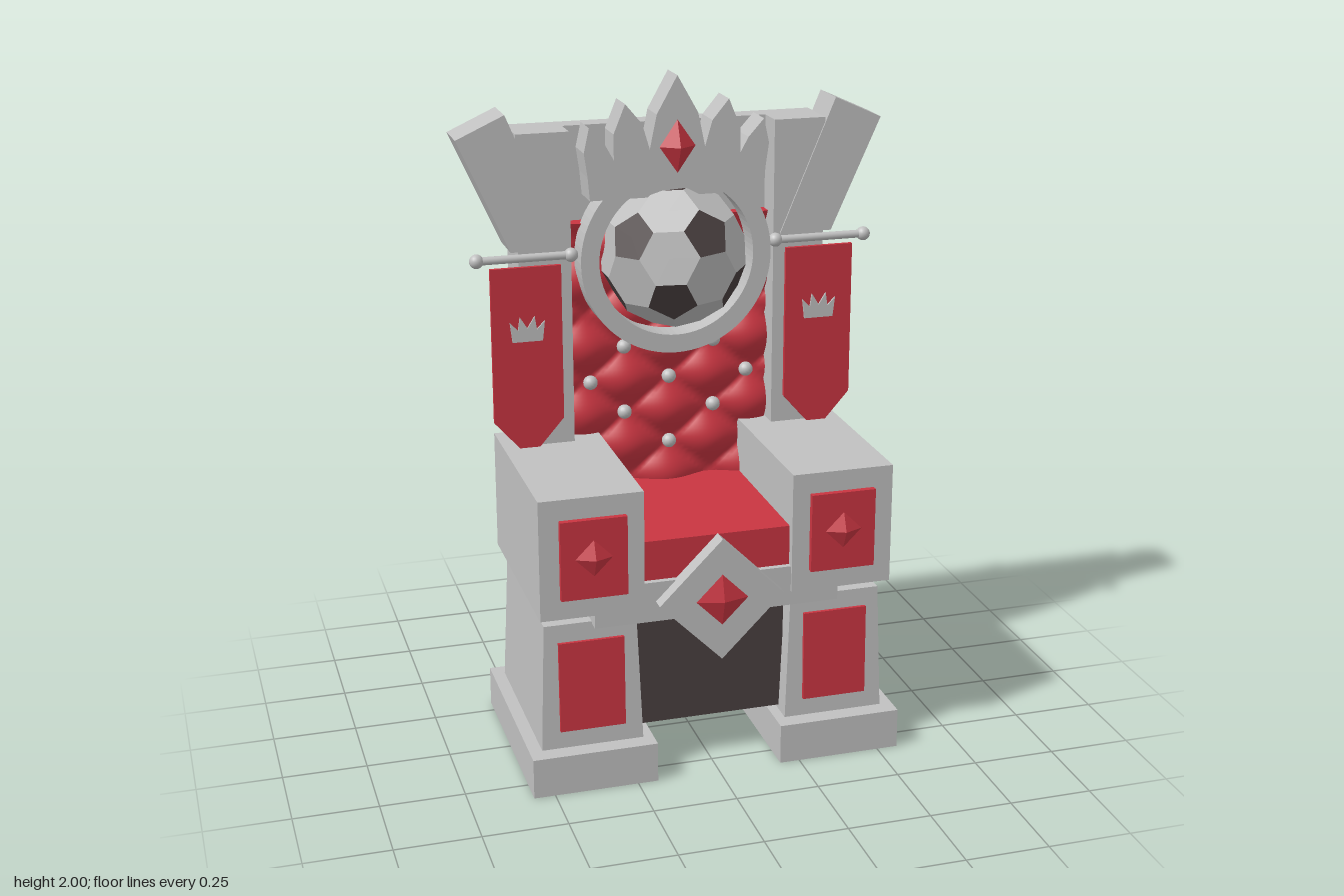
import * as THREE from 'three';

const grey = new THREE.MeshStandardMaterial({ color: 0xc0c0c0 });
grey.name = 'stone grey';
const red = new THREE.MeshStandardMaterial({ color: 0xc93541 });
red.name = 'crimson';
const dark = new THREE.MeshStandardMaterial({ color: 0x4a4040 });
dark.name = 'dark brown';

const BALL = new THREE.Vector3(0, 1.465, -0.157);

function add(parent, name, geometry, material, x = 0, y = 0, z = 0) {
  const mesh = new THREE.Mesh(geometry, material);
  mesh.name = name;
  mesh.position.set(x, y, z);
  parent.add(mesh);
  return mesh;
}

// Box given by its limits on each axis
function block(parent, name, material, [x0, x1], [y0, y1], [z0, z1]) {
  return add(parent, name, new THREE.BoxGeometry(x1 - x0, y1 - y0, z1 - z0), material,
    (x0 + x1) / 2, (y0 + y1) / 2, (z0 + z1) / 2);
}

// Outline in x and y, extruded from z0 to z1
function slab(parent, name, material, points, z0, z1) {
  const shape = new THREE.Shape(points.map(([x, y]) => new THREE.Vector2(x, y)));
  const geometry = new THREE.ExtrudeGeometry(shape, { depth: z1 - z0, bevelEnabled: false });
  return add(parent, name, geometry, material, 0, 0, z0);
}

const diamond = (y, r) => [[0, y - r], [r, y], [0, y + r], [-r, y]];

function gem(parent, name, x, y, z, rx, ry, rz) {
  const geometry = new THREE.OctahedronGeometry(1).scale(rx, ry, rz);
  return add(parent, name, geometry, red, x, y, z);
}

// Leg narrowing towards the top
function leg(parent, x) {
  const geometry = new THREE.BoxGeometry(0.305, 0.39, 0.535);
  const p = geometry.attributes.position;
  for (let i = 0; i < p.count; i++) {
    if (p.getY(i) > 0) p.setXYZ(i, p.getX(i) * 0.9, p.getY(i), p.getZ(i) * 0.945 + 0.005);
  }
  geometry.computeVertexNormals();
  add(parent, 'leg', geometry, grey, x, 0.315, 0.0125);
}

// Padded cushion pulled in at every button
function upholstery(parent) {
  const geometry = new THREE.BoxGeometry(0.614, 0.87, 0.03, 48, 70, 1);
  const p = geometry.attributes.position;
  const yMid = 1.131;
  for (let i = 0; i < p.count; i++) {
    if (p.getZ(i) <= 0) continue;
    const u = p.getX(i) / 0.26, v = (p.getY(i) + yMid - 1.07) / 0.21;
    const puff = Math.abs(Math.sin(Math.PI * (u + v)) * Math.sin(Math.PI * (u - v)));
    p.setZ(i, 0.012 + 0.04 * Math.pow(puff, 0.8));
  }
  geometry.computeVertexNormals();
  add(parent, 'backCushion', geometry, red, 0, yMid, -0.23);

  const rows = [[1.175, [-0.14, 0.14]], [1.07, [-0.245, 0, 0.245]], [0.968, [-0.14, 0.14]], [0.862, [0]]];
  for (const [y, xs] of rows) {
    for (const x of xs) add(parent, 'button', new THREE.SphereGeometry(0.022, 16, 12), grey, x, y, -0.205);
  }
}

// Ball with 12 dark pentagons and 20 grey hexagons
function ball(parent, radius) {
  const f = (1 + Math.sqrt(5)) / 2, verts = [];
  for (const a of [-1, 1]) {
    for (const b of [-f, f]) {
      verts.push(new THREE.Vector3(0, a, b), new THREE.Vector3(a, b, 0), new THREE.Vector3(b, 0, a));
    }
  }
  const near = (a, b) => a !== b && a.distanceTo(b) < 2.1;
  const cut = (a, b) => a.clone().lerp(b, 1 / 3).setLength(radius);

  // Fan of triangles around a face centre, counter-clockwise from outside
  const fan = (out, ring) => {
    const c = new THREE.Vector3();
    ring.forEach((q) => c.addScaledVector(q, 1 / ring.length));
    const n = c.clone().normalize();
    const e = ring[0].clone().sub(c).normalize(), g = n.clone().cross(e);
    const angle = (q) => Math.atan2(q.clone().sub(c).dot(g), q.clone().sub(c).dot(e));
    const sorted = [...ring].sort((a, b) => angle(a) - angle(b));
    sorted.forEach((q, i) => out.push(c, q, sorted[(i + 1) % sorted.length]));
  };

  const pentagons = [], hexagons = [];
  verts.forEach((a, i) => {
    fan(pentagons, verts.filter((b) => near(a, b)).map((b) => cut(a, b)));
    verts.forEach((b, j) => verts.forEach((c, k) => {
      if (i < j && j < k && near(a, b) && near(b, c) && near(a, c)) {
        fan(hexagons, [cut(a, b), cut(b, a), cut(b, c), cut(c, b), cut(c, a), cut(a, c)]);
      }
    }));
  });
  const group = new THREE.Group();
  group.name = 'ball';
  for (const [name, points, material] of [['ballPentagons', pentagons, dark], ['ballHexagons', hexagons, grey]]) {
    const geometry = new THREE.BufferGeometry().setFromPoints(points);
    geometry.computeVertexNormals();
    add(group, name, geometry, material);
  }
  group.position.copy(BALL);
  group.rotation.z = -0.5;
  parent.add(group);
}

// Everything that repeats on both sides; s is 1 for left, -1 for right
function side(parent, s) {
  const span = (a, b) => (s > 0 ? [a, b] : [-b, -a]);
  const mirror = (pts) => pts.map(([x, y]) => [s * x, y]);

  block(parent, 'foot', grey, span(0.19, 0.563), [0, 0.122], [-0.3, 0.333]);
  leg(parent, s * 0.3725);
  const legPanel = block(parent, 'legPanel', red, span(0.275, 0.47), [0.178, 0.455], [0.262, 0.286]);
  legPanel.rotation.x = -0.025;
  block(parent, 'armrest', grey, span(0.222, 0.528), [0.547, 0.91], [-0.285, 0.315]);
  block(parent, 'armPanel', red, span(0.275, 0.47), [0.61, 0.848], [0.3, 0.333]);
  gem(parent, 'armGem', s * 0.373, 0.732, 0.333, 0.055, 0.055, 0.025);

  // Back pillar with a flared top
  block(parent, 'backPillar', grey, span(0.31, 0.467), [0.685, 1.847], [-0.24, -0.148]);
  slab(parent, 'pillarHorn', grey,
    mirror([[0.49, 1.505], [0.64, 1.84], [0.497, 1.905], [0.33, 1.505]]), -0.275, -0.143);

  // Hanging banner, its rod and emblem
  slab(parent, 'banner', red,
    mirror([[0.345, 1.462], [0.555, 1.462], [0.555, 0.995], [0.45, 0.875], [0.345, 0.995]]), -0.143, -0.13);
  const rod = add(parent, 'bannerRod', new THREE.CylinderGeometry(0.012, 0.012, 0.28, 16), grey, s * 0.452, 1.488, -0.138);
  rod.rotation.z = Math.PI / 2;
  for (const x of [0.592, 0.313]) {
    add(parent, 'rodKnob', new THREE.SphereGeometry(0.021, 20, 14), grey, s * x, 1.488, -0.138);
  }
  const emblem = [[-0.045, 1.24], [0.045, 1.24], [0.052, 1.3], [0.028, 1.275], [0.022, 1.315], [0, 1.28],
    [-0.022, 1.315], [-0.028, 1.275], [-0.052, 1.3]];
  slab(parent, 'bannerEmblem', grey, emblem.map(([x, y]) => [x + s * 0.45, y]), -0.132, -0.124);
}

export function createModel() {
  const throne = new THREE.Group();
  throne.name = 'throne';
  for (const s of [1, -1]) side(throne, s);

  // Seat
  block(throne, 'underSeat', dark, [-0.23, 0.23], [0.135, 0.51], [-0.21, 0.22]);
  block(throne, 'seatBeam', grey, [-0.368, 0.368], [0.503, 0.625], [-0.298, 0.308]);
  block(throne, 'seatCushion', red, [-0.223, 0.223], [0.62, 0.745], [-0.27, 0.29]);
  slab(throne, 'frontDiamond', grey, diamond(0.565, 0.187), 0.3, 0.35);
  gem(throne, 'frontGem', 0, 0.565, 0.35, 0.078, 0.078, 0.023);

  // Back
  block(throne, 'backSlab', grey, [-0.467, 0.467], [0.685, 1.847], [-0.303, -0.235]);
  upholstery(throne);
  block(throne, 'rearPanel', red, [-0.335, 0.335], [0.73, 1.31], [-0.313, -0.29]);
  slab(throne, 'rearDiamond', grey, diamond(1.468, 0.382), -0.319, -0.29);

  // Ball in its ring
  ball(throne, 0.218);
  const ringShape = new THREE.Shape().absarc(0, 0, 0.29, 0, Math.PI * 2, false);
  ringShape.holes.push(new THREE.Path().absarc(0, 0, 0.235, 0, Math.PI * 2, true));
  add(throne, 'ballRing', new THREE.ExtrudeGeometry(ringShape, { depth: 0.085, bevelEnabled: false, curveSegments: 40 }),
    grey, 0, BALL.y - 0.003, -0.197);

  // Crown
  const half = [[0.262, 1.65], [0.268, 1.72], [0.278, 1.79], [0.262, 1.862], [0.215, 1.81], [0.19, 1.765],
    [0.19, 1.84], [0.155, 1.925], [0.105, 1.865], [0.083, 1.79], [0.062, 1.89]];
  const outline = [...half, [0, 2], ...half.map(([x, y]) => [-x, y]).reverse()];
  slab(throne, 'crown', grey, outline, -0.205, -0.105);
  gem(throne, 'crownGem', 0, 1.795, -0.105, 0.054, 0.078, 0.036);

  return throne;
}
